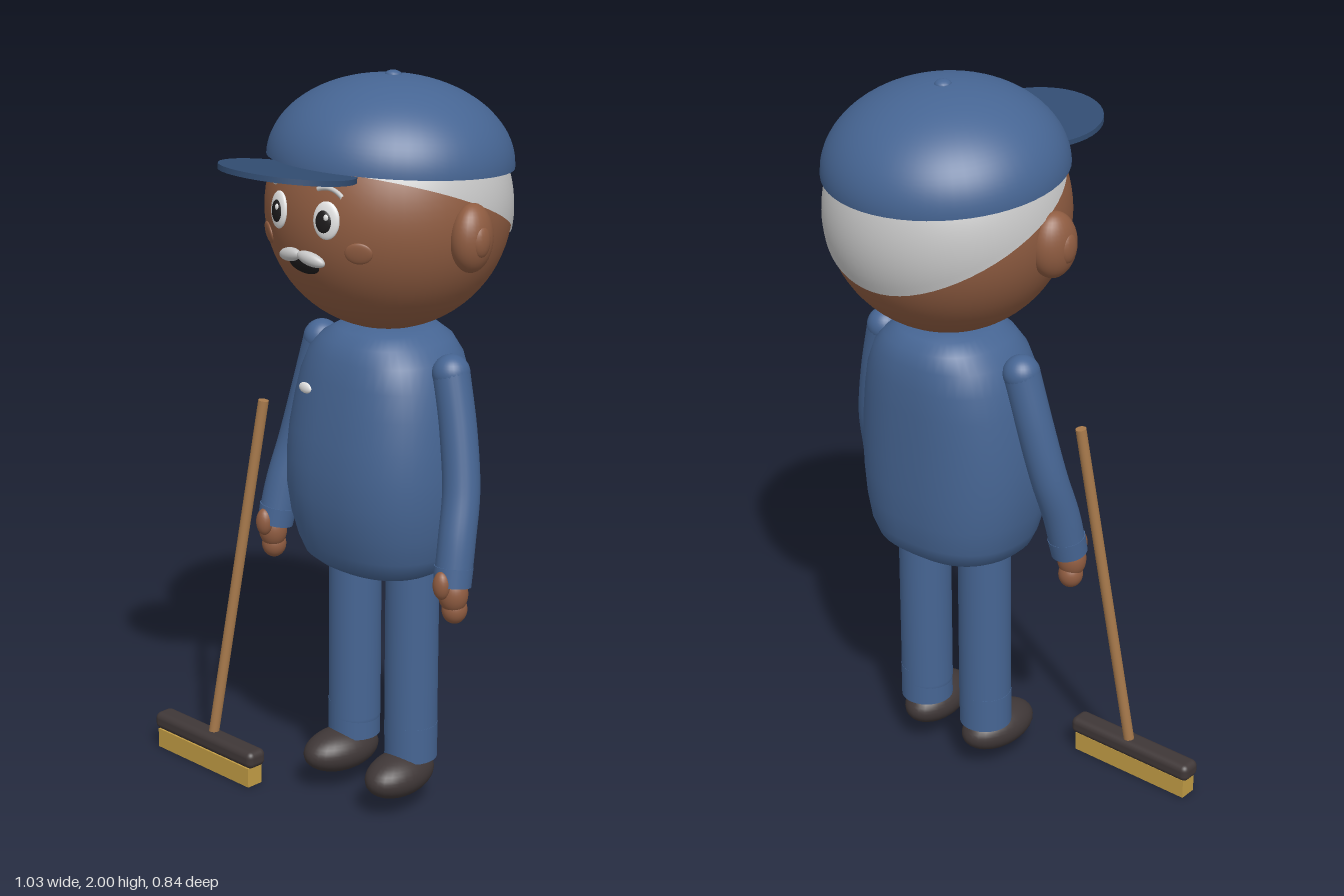
import * as THREE from 'three';
import { RoundedBoxGeometry } from 'three/addons/geometries/RoundedBoxGeometry.js';

const mat = (name, color, side = THREE.FrontSide) => {
  const m = new THREE.MeshStandardMaterial({ color, side });
  m.name = name;
  return m;
};

export function createModel() {
  const M = {
    cloth: mat('blue cloth', 0x466593),
    brim: mat('dark blue', 0x324d72),
    skin: mat('brown skin', 0x8f5c41),
    hair: mat('grey hair', 0xc6c6c6, THREE.DoubleSide),
    white: mat('white', 0xe4e4e4),
    dark: mat('black', 0x1d1b1c),
    shoe: mat('dark brown', 0x3f3737),
    wood: mat('wood', 0xa87a4c),
    bristle: mat('straw', 0xc29d45),
  };
  const model = new THREE.Group();
  model.name = 'sweeper';
  const body = new THREE.Group();
  body.name = 'figure';
  body.position.x = 0.133;
  model.add(body);

  const add = (name, geo, material, x = 0, y = 0, z = 0, parent = body) => {
    const m = new THREE.Mesh(geo, material);
    m.name = name;
    m.position.set(x, y, z);
    parent.add(m);
    return m;
  };
  const ellipsoid = (rx, ry, rz, seg = 28) =>
    new THREE.SphereGeometry(1, seg, Math.round(seg * 0.7)).scale(rx, ry, rz);
  const V = (x, y, z) => new THREE.Vector3(x, y, z);

  // Surface from closed loops of points
  const loft = (loops, closed) => {
    const n = loops[0].length, idx = [];
    for (let i = 0; i < loops.length - 1; i++)
      for (let j = 0; j < n; j++) {
        const a = i * n + j, b = i * n + ((j + 1) % n);
        idx.push(a, a + n, b, b, a + n, b + n);
      }
    const pts = loops.flat();
    if (closed) {
      const last = (loops.length - 1) * n;
      for (let j = 1; j < n - 1; j++) idx.push(0, j, j + 1, last, last + j + 1, last + j);
    }
    const g = new THREE.BufferGeometry().setFromPoints(pts);
    g.setIndex(idx);
    g.computeVertexNormals();
    return g;
  };

  // Head
  const R = 0.318, HY = 1.653, HZ = -0.1;
  add('head', new THREE.SphereGeometry(R, 56, 40), M.skin, 0, HY, HZ);

  // Place a detail on the head, facing outward
  const onHead = (name, geo, material, x, y, lift = 0, roll = 0) => {
    const n = V(x, y - HY, Math.sqrt(R * R - x * x - (y - HY) ** 2)).normalize();
    const m = add(name, geo, material);
    m.position.copy(n).multiplyScalar(R + lift).add(V(0, HY, HZ));
    m.quaternion.setFromUnitVectors(V(0, 0, 1), n);
    m.rotateZ(roll);
    return m;
  };

  // Hair band, dipping low at the back
  const hairLoops = [];
  for (let i = 0; i <= 14; i++) {
    const loop = [];
    for (let j = 0; j < 64; j++) {
      const a = (j / 64) * Math.PI * 2, c = Math.cos(a);
      const low = 1.702 + 0.138 * c - 0.044 * c * c;
      const y = 1.85 + (low - 1.85) * (i / 14);
      const r = Math.sqrt((R + 0.004) ** 2 - (y - HY) ** 2);
      loop.push(V(r * Math.sin(a), y, HZ + r * c));
    }
    hairLoops.push(loop);
  }
  add('hair', loft(hairLoops, false), M.hair);

  // Cap
  const cap = new THREE.Group();
  cap.name = 'cap';
  cap.position.set(0, 1.77, -0.107);
  cap.rotation.x = -0.08;
  body.add(cap);
  add('capDome', new THREE.SphereGeometry(0.318, 56, 24, 0, Math.PI * 2, 0, Math.PI / 2).scale(1, 0.69, 1),
    M.cloth, 0, 0, 0, cap);
  const rim = add('capUnderside', new THREE.RingGeometry(0.27, 0.318, 56), M.cloth, 0, 0, 0, cap);
  rim.rotation.x = Math.PI / 2;
  add('capButton', ellipsoid(0.022, 0.012, 0.022, 16), M.cloth, 0, 0.217, 0.01, cap);
  const brim = add('capBrim', new THREE.CylinderGeometry(1, 1, 0.014, 48).scale(0.182, 1, 0.162),
    M.brim, 0, 1.793, 0.258);
  brim.rotation.x = -0.13;

  // Torso sections: height, half width, front z, back z
  const sections = [
    [0.685, 0.12, 0.02, -0.19], [0.69, 0.18, 0.065, -0.235], [0.71, 0.212, 0.088, -0.262],
    [0.75, 0.23, 0.104, -0.276], [0.82, 0.246, 0.123, -0.284], [0.9, 0.255, 0.134, -0.287],
    [0.98, 0.256, 0.134, -0.287], [1.06, 0.25, 0.127, -0.287], [1.14, 0.239, 0.113, -0.286],
    [1.21, 0.224, 0.1, -0.284], [1.27, 0.2, 0.084, -0.276], [1.31, 0.165, 0.062, -0.26],
    [1.335, 0.125, 0.03, -0.232], [1.345, 0.08, -0.01, -0.195],
  ];
  const pow = (v) => Math.sign(v) * Math.abs(v) ** (2 / 2.4);
  const torsoLoops = sections.map(([y, hx, zf, zb]) =>
    Array.from({ length: 48 }, (_, j) => {
      const a = (j / 48) * Math.PI * 2;
      return V(hx * pow(Math.sin(a)), y, (zf + zb) / 2 + ((zf - zb) / 2) * pow(Math.cos(a)));
    })).reverse();
  add('torso', loft(torsoLoops, true), M.cloth);
  const badge = add('chestBadge', ellipsoid(0.028, 0.014, 0.008, 20), M.white, -0.108, 1.18, 0.093);
  badge.rotation.set(-0.18, -0.2, 0);

  // Mirrored parts
  for (const s of [-1, 1]) {
    const side = s > 0 ? 'left' : 'right';
    // Ears
    const ear = add(side + 'Ear', ellipsoid(0.05, 0.088, 0.066), M.skin, s * 0.318, 1.627, -0.068);
    ear.rotation.y = s * 0.2;
    add(side + 'InnerEar', ellipsoid(0.018, 0.042, 0.03, 16), M.skin, s * 0.356, 1.625, -0.06);

    // Eyes, brows, cheeks and moustache
    onHead(side + 'Eye', ellipsoid(0.037, 0.048, 0.012), M.white, s * 0.084, 1.677);
    onHead(side + 'Iris', ellipsoid(0.023, 0.029, 0.008, 20), M.dark, s * 0.081, 1.675, 0.008);
    onHead(side + 'EyeGlint', ellipsoid(0.007, 0.008, 0.004, 12), M.white, s * 0.081 + 0.008, 1.686, 0.014);
    const arch = new THREE.QuadraticBezierCurve3(V(-0.036, -0.006, 0), V(0, 0.016, 0.006), V(0.036, -0.006, 0));
    onHead(side + 'Brow', new THREE.TubeGeometry(arch, 12, 0.006, 8), M.hair, s * 0.085, 1.749, 0.001, s * -0.15);
    onHead(side + 'Cheek', ellipsoid(0.036, 0.028, 0.007, 20), M.skin, s * 0.16, 1.6);
    onHead(side + 'Moustache', ellipsoid(0.043, 0.018, 0.016, 20), M.hair, s * 0.036, 1.574, 0.008, s * -0.22);

    // Arms
    const path = new THREE.CatmullRomCurve3([
      V(s * 0.235, 1.255, -0.092), V(s * 0.272, 1.11, -0.082), V(s * 0.304, 0.96, -0.062),
      V(s * 0.321, 0.84, -0.03), V(s * 0.329, 0.735, -0.008),
    ]);
    add(side + 'Arm', new THREE.TubeGeometry(path, 28, 0.049, 24), M.cloth);
    add(side + 'Shoulder', ellipsoid(0.049, 0.049, 0.05), M.cloth, s * 0.235, 1.255, -0.092);
    const cuff = add(side + 'Cuff', new THREE.CylinderGeometry(0.051, 0.049, 0.05, 28), M.cloth, s * 0.328, 0.748, -0.01);
    cuff.rotation.set(-0.18, 0, s * 0.08);

    // Hands
    add(side + 'Palm', ellipsoid(0.04, 0.052, 0.038), M.skin, s * 0.336, 0.704, -0.003);
    add(side + 'Fingers', ellipsoid(0.033, 0.038, 0.034), M.skin, s * 0.337, 0.66, -0.008);
    add(side + 'Thumb', ellipsoid(0.024, 0.038, 0.022, 18), M.skin, s * 0.33, 0.735, 0.035);

    // Legs and shoes
    add(side + 'Leg', new THREE.CapsuleGeometry(0.072, 0.5, 8, 28), M.cloth, s * 0.107, 0.455, -0.093);
    add(side + 'Hem', new THREE.CylinderGeometry(0.072, 0.072, 0.1, 28), M.cloth, s * 0.108, 0.195, -0.093);
    const shoe = add(side + 'Shoe', ellipsoid(0.074, 0.06, 0.12), M.shoe, s * 0.112, 0.106, -0.046);
    shoe.rotation.y = s * 0.1;
  }

  // Mouth
  onHead('mouth', ellipsoid(0.052, 0.026, 0.008), M.dark, 0, 1.55);

  // Broom
  const broom = new THREE.Group();
  broom.name = 'broom';
  model.add(broom);
  add('broomBlock', new RoundedBoxGeometry(0.403, 0.05, 0.064, 4, 0.018), M.shoe, -0.32, 0.08, 0.138, broom);
  add('bristles', new THREE.BoxGeometry(0.376, 0.056, 0.05), M.bristle, -0.32, 0.028, 0.14, broom);
  const low = V(-0.31, 0.09, 0.132), high = V(-0.204, 1.08, 0.028);
  const handle = add('broomHandle', new THREE.CylinderGeometry(0.0145, 0.0145, low.distanceTo(high), 16), M.wood,
    0, 0, 0, broom);
  handle.position.copy(low).lerp(high, 0.5);
  handle.quaternion.setFromUnitVectors(V(0, 1, 0), high.clone().sub(low).normalize());

  return model;
}
